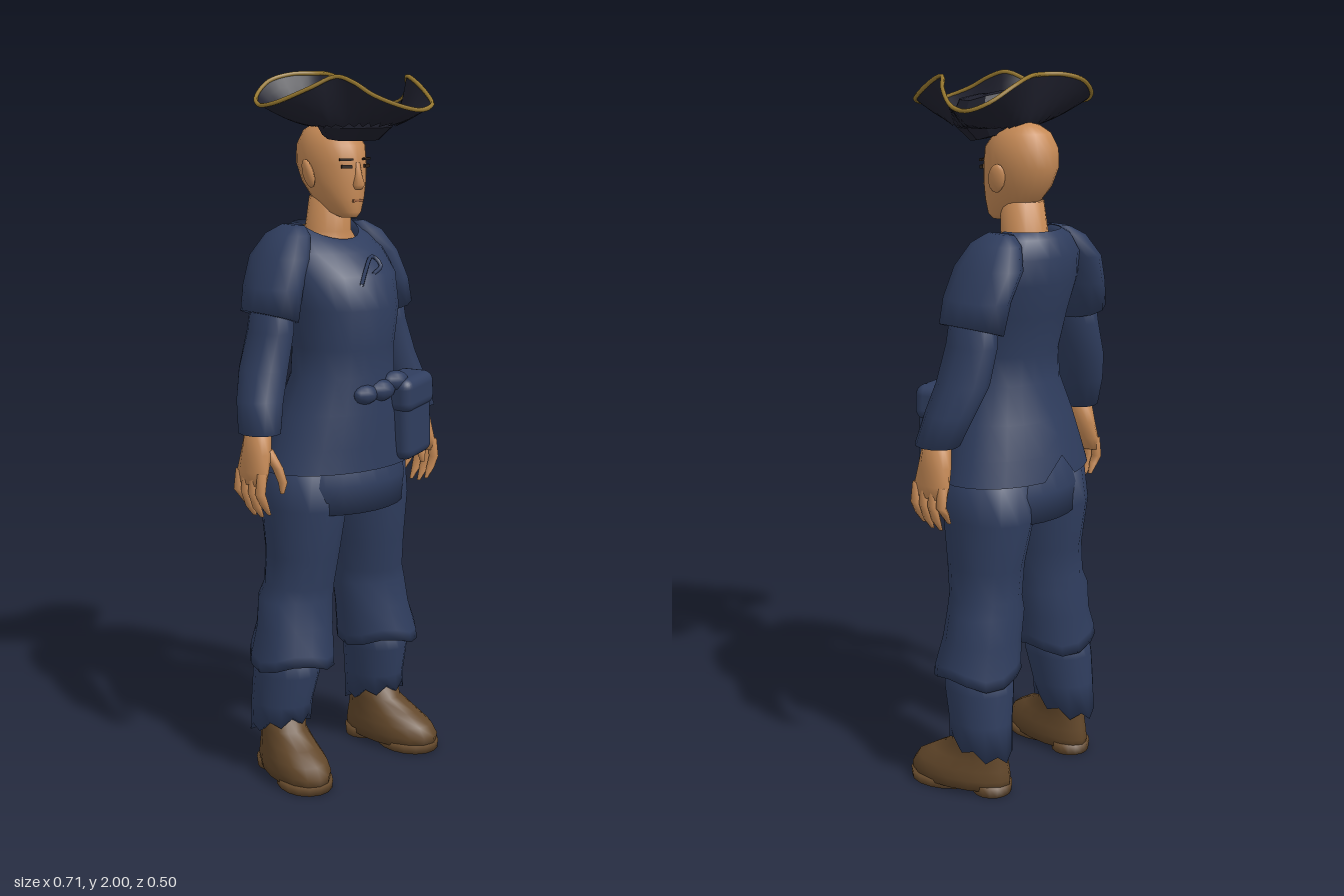
import * as THREE from 'three';
import { RoundedBoxGeometry } from 'three/addons/geometries/RoundedBoxGeometry.js';

const mat = (name, color, side = THREE.FrontSide) =>
  Object.assign(new THREE.MeshStandardMaterial({ color, side }), { name });

// Skin over stacked rings [cx, y, cz, rx, rz], listed from bottom to top.
function loft(rings, { n = 16, bottom = true, top = true, tweak } = {}) {
  const pos = [], idx = [], v = new THREE.Vector3();
  rings.forEach(([cx, y, cz, rx, rz], i) => {
    for (let j = 0; j < n; j++) {
      const a = (j / n) * Math.PI * 2;
      v.set(cx + rx * Math.cos(a), y, cz + rz * Math.sin(a));
      if (tweak) tweak(v, a, i, j);
      pos.push(v.x, v.y, v.z);
    }
  });
  for (let i = 0; i < rings.length - 1; i++) {
    for (let j = 0; j < n; j++) {
      const a = i * n + j, b = i * n + (j + 1) % n;
      idx.push(a, a + n, b + n, a, b + n, b);
    }
  }
  const cap = (i, flip) => {
    const c = pos.length / 3;
    let h = 0;
    for (let j = 0; j < n; j++) h += pos[(i * n + j) * 3 + 1] / n;
    pos.push(rings[i][0], h, rings[i][2]);
    for (let j = 0; j < n; j++) {
      const a = i * n + j, b = i * n + (j + 1) % n;
      idx.push(c, flip ? b : a, flip ? a : b);
    }
  };
  if (bottom) cap(0, false);
  if (top) cap(rings.length - 1, true);
  const g = new THREE.BufferGeometry();
  g.setAttribute('position', new THREE.Float32BufferAttribute(pos, 3));
  g.setIndex(idx);
  g.computeVertexNormals();
  return g;
}

export function createModel() {
  const cloth = mat('navy cloth', 0x2f3d5e, THREE.DoubleSide);
  const skin = mat('skin', 0xc68a56);
  const leather = mat('brown leather', 0x62472a);
  const felt = mat('dark felt', 0x1f202d, THREE.DoubleSide);
  const gold = mat('gold trim', 0x97782f);
  const dark = mat('eye dark', 0x2b2019);
  const lip = mat('lip', 0x9c6340);

  const model = new THREE.Group();
  model.name = 'sailor';
  const add = (name, geo, material, parent = model) => {
    const m = new THREE.Mesh(geo, material);
    m.name = name;
    parent.add(m);
    return m;
  };

  // Tunic with dipped neckline, wavy skirt and a slit at the back hem
  add('tunic', loft([
    [0, 0.91, -0.075, 0.25, 0.172], [0, 0.98, -0.07, 0.225, 0.165],
    [0, 1.07, -0.06, 0.195, 0.155], [0, 1.17, -0.05, 0.155, 0.137],
    [0, 1.25, -0.048, 0.15, 0.137], [0, 1.36, -0.055, 0.165, 0.158],
    [0, 1.45, -0.08, 0.18, 0.157], [0, 1.52, -0.11, 0.172, 0.13],
    [0, 1.57, -0.118, 0.13, 0.107], [0, 1.588, -0.118, 0.095, 0.088],
  ], { n: 24, bottom: false, top: false, tweak: (v, a, i, j) => {
    if (v.y > 1.5) v.y -= 0.5 * (v.y - 1.5) * Math.max(0, Math.sin(a));
    if (i === 0 && j === 18) v.y = 0.975;
    if (i === 1 && j === 18) v.y = 1.03;
  } }), cloth);
  add('undershirtTail', loft([
    [0, 0.79, -0.07, 0.205, 0.162], [0, 0.87, -0.07, 0.215, 0.163], [0, 1.0, -0.065, 0.2, 0.145],
  ], { n: 24 }), cloth);
  add('collarLining', loft([
    [0, 1.52, -0.118, 0.09, 0.083], [0, 1.545, -0.118, 0.093, 0.084],
  ], { tweak: (v, a) => { v.y -= 0.03 * Math.sin(a); } }), leather);

  // Chest lacing
  const lace = new THREE.CatmullRomCurve3([[-0.05, 1.43, 0.083], [-0.02, 1.47, 0.068], [0.03, 1.5, 0.04],
    [0.045, 1.475, 0.058], [0, 1.455, 0.076]].map(p => new THREE.Vector3(...p)));
  add('chestLace', new THREE.TubeGeometry(lace, 16, 0.006, 5), cloth);

  // Sash knot and belt pouch
  for (const [x, y, r] of [[-0.035, 1.125, 0.034], [0.025, 1.13, 0.038], [0.08, 1.15, 0.036]]) {
    const k = add('sashKnot', new THREE.SphereGeometry(r, 10, 8), cloth);
    k.position.set(x, y, 0.082);
    k.scale.set(1.2, 0.8, 0.8);
  }
  const pouch = new THREE.Group();
  pouch.name = 'beltPouch';
  pouch.position.set(0.15, 1.02, 0.055);
  pouch.rotation.set(0, 0.3, 0.06);
  model.add(pouch);
  add('pouchBody', new RoundedBoxGeometry(0.15, 0.19, 0.1, 3, 0.03), cloth, pouch).position.y = -0.005;
  add('pouchFlap', new RoundedBoxGeometry(0.165, 0.1, 0.115, 3, 0.03), cloth, pouch).position.y = 0.09;

  for (const s of [1, -1]) {
    const side = s > 0 ? 'left' : 'right';
    const part = (name, rings, material, opt) =>
      add(side + name, loft(rings.map(([x, ...r]) => [x * s, ...r]), opt), material);

    // Short oversleeve, long sleeve
    part('Oversleeve', [
      [0.217, 1.34, -0.11, 0.063, 0.1], [0.2, 1.42, -0.115, 0.06, 0.108], [0.165, 1.5, -0.125, 0.06, 0.11],
      [0.135, 1.56, -0.125, 0.045, 0.08], [0.115, 1.585, -0.125, 0.015, 0.045],
    ], cloth, { n: 12, tweak: (v, a, i) => { if (i === 0) v.y += 0.02 * s * Math.cos(a); } });
    part('Sleeve', [
      [0.298, 1.035, -0.06, 0.057, 0.064], [0.275, 1.12, -0.085, 0.062, 0.072], [0.245, 1.2, -0.105, 0.063, 0.078],
      [0.215, 1.3, -0.11, 0.055, 0.078], [0.2, 1.42, -0.11, 0.05, 0.07],
    ], cloth, { n: 12 });

    // Hand, four fingers and thumb
    part('Palm', [
      [0.325, 0.895, -0.062, 0.018, 0.056], [0.322, 0.93, -0.062, 0.026, 0.06],
      [0.31, 0.98, -0.062, 0.033, 0.052], [0.3, 1.05, -0.062, 0.036, 0.04],
    ], skin, { n: 12 });
    for (let f = 0; f < 4; f++) {
      const z = -0.108 + f * 0.031, d = f === 0 ? 0.025 : f === 3 ? 0.012 : 0;
      part('Finger', [
        [0.305, 0.8 + d, z, 0.005, 0.006], [0.322, 0.83 + d, z, 0.012, 0.013],
        [0.336, 0.875, z, 0.014, 0.015], [0.328, 0.93, z, 0.014, 0.015],
      ], skin, { n: 7 });
    }
    part('Thumb', [
      [0.272, 0.87, 0.002, 0.006, 0.006], [0.268, 0.9, 0, 0.013, 0.013],
      [0.276, 0.94, -0.012, 0.015, 0.016], [0.295, 0.99, -0.035, 0.018, 0.02],
    ], skin, { n: 7 });

    // Baggy breeches over narrower trouser legs
    part('Breeches', [
      [0.168, 0.345, -0.085, 0.12, 0.127], [0.166, 0.375, -0.085, 0.12, 0.123], [0.152, 0.45, -0.09, 0.112, 0.11],
      [0.143, 0.53, -0.095, 0.113, 0.105], [0.136, 0.57, -0.088, 0.1, 0.104], [0.128, 0.66, -0.082, 0.102, 0.112],
      [0.12, 0.8, -0.085, 0.112, 0.137], [0.11, 0.92, -0.08, 0.11, 0.13],
    ], cloth, { n: 14, tweak: (v, a, i) => { if (i < 2) v.y += 0.015 * Math.cos(a * 3); } });
    part('TrouserLeg', [
      [0.188, 0.15, -0.115, 0.08, 0.098], [0.184, 0.22, -0.112, 0.084, 0.095],
      [0.176, 0.31, -0.1, 0.09, 0.105], [0.168, 0.4, -0.095, 0.09, 0.1],
    ], cloth, { n: 16, tweak: (v, a, i, j) => {
      if (i === 0) v.y += 0.03 * Math.sin(a) + (j % 2 ? 0.012 : -0.012);
    } });

    // Boot, turned outwards
    const boot = new THREE.Group();
    boot.name = side + 'Boot';
    boot.position.set(0.197 * s, 0, -0.05);
    boot.rotation.y = 0.2 * s;
    model.add(boot);
    const widenToe = v => { v.x *= 1 + 0.9 * v.z; };
    add('bootUpper', loft([
      [0, 0.015, 0, 0.074, 0.155], [0, 0.045, 0, 0.08, 0.158], [0, 0.075, -0.008, 0.076, 0.146],
      [0, 0.105, -0.03, 0.068, 0.118], [0, 0.14, -0.06, 0.064, 0.083], [0, 0.2, -0.065, 0.068, 0.075],
    ], { tweak: widenToe }), leather, boot);
    add('bootSole', loft([[0, 0, 0.06, 0.07, 0.098], [0, 0.025, 0.06, 0.072, 0.1]], { tweak: widenToe }), leather, boot);
    add('bootHeel', loft([[0, 0, -0.1, 0.055, 0.055], [0, 0.03, -0.1, 0.058, 0.058]]), leather, boot);

    // Ear, eye and brow
    const ear = add(side + 'Ear', new THREE.SphereGeometry(1, 10, 8), skin);
    ear.scale.set(0.013, 0.04, 0.024);
    ear.position.set(0.091 * s, 1.725, -0.088);
    ear.rotation.set(-0.2, 0.3 * s, -0.15 * s);
    for (const [name, y, w, h, z] of [['Eye', 1.745, 0.03, 0.009, 0.008], ['Brow', 1.764, 0.04, 0.006, 0.007]]) {
      const m = add(side + name, new THREE.BoxGeometry(w, h, 0.008), dark);
      m.position.set(0.037 * s, y, z);
      m.rotation.y = 0.38 * s;
    }
  }

  // Neck, bald head, nose and mouth
  add('neck', loft([
    [0, 1.5, -0.11, 0.095, 0.08], [0, 1.535, -0.11, 0.088, 0.076], [0, 1.565, -0.11, 0.066, 0.064],
    [0, 1.66, -0.1, 0.056, 0.062],
  ]), skin);
  add('head', loft([
    [0, 1.605, -0.025, 0.022, 0.026], [0, 1.62, -0.043, 0.042, 0.054], [0, 1.66, -0.068, 0.065, 0.083],
    [0, 1.7, -0.084, 0.079, 0.1], [0, 1.75, -0.095, 0.087, 0.11], [0, 1.8, -0.097, 0.086, 0.106],
    [0, 1.84, -0.102, 0.066, 0.08], [0, 1.86, -0.106, 0.036, 0.044], [0, 1.866, -0.107, 0.012, 0.014],
  ], { n: 24 }), skin);
  add('nose', loft([
    [0, 1.683, 0.012, 0.012, 0.012], [0, 1.695, 0.014, 0.018, 0.021], [0, 1.72, 0.012, 0.011, 0.015],
    [0, 1.755, 0.01, 0.008, 0.008],
  ], { n: 8 }), skin);
  add('mouth', new THREE.BoxGeometry(0.036, 0.007, 0.008), lip).position.set(0, 1.652, 0.012);

  // Hat crown
  const crown = loft([
    [0, 1.815, -0.015, 0.085, 0.07], [0, 1.85, -0.002, 0.112, 0.1], [0, 1.89, 0, 0.116, 0.106],
    [0, 1.922, 0, 0.1, 0.092], [0, 1.934, 0, 0.05, 0.045],
  ], { n: 12, tweak: v => { v.y += Math.max(0, -v.z) * 0.3; } }).toNonIndexed();
  crown.computeVertexNormals();
  add('hatCrown', crown, felt);

  // Three-cornered brim: low points at front and back corners, folded up between
  const half = [[0.07, 1.99, -0.182], [0.14, 1.972, -0.193], [0.21, 1.93, -0.165], [0.238, 1.91, -0.115],
    [0.232, 1.917, -0.06], [0.18, 1.955, 0.02], [0.13, 1.985, 0.07], [0.114, 1.97, 0.12],
    [0.1, 1.94, 0.175], [0.06, 1.912, 0.235]];
  const rimPoints = [[0, 1.992, -0.163], ...half, [0, 1.9, 0.252],
    ...half.slice().reverse().map(([x, y, z]) => [-x, y, z])].map(p => new THREE.Vector3(...p));
  const rim = new THREE.CatmullRomCurve3(rimPoints, true);
  const N = 64, rows = 6, pos = [], idx = [];
  for (let j = 0; j < N; j++) {
    const p = rim.getPointAt(j / N), a = Math.atan2(p.z, p.x);
    const ix = 0.118 * Math.cos(a), iz = 0.11 * Math.sin(a);
    // Torn, toothed inner edge, gaping widest at the front
    const gap = Math.max(0, Math.sin(a)) ** 4;
    const t0 = (j % 2 ? 0.14 : 0) + gap * (j % 2 ? 0.25 : 0.1);
    for (let i = 0; i <= rows; i++) {
      const t = t0 + (1 - t0) * (i / rows);
      pos.push(ix + (p.x - ix) * t, 1.852 + (p.y - 1.852) * t ** 1.5, iz + (p.z - iz) * t);
    }
  }
  for (let j = 0; j < N; j++) {
    for (let i = 0; i < rows; i++) {
      const a = j * (rows + 1) + i, b = ((j + 1) % N) * (rows + 1) + i;
      idx.push(a, b, b + 1, a, b + 1, a + 1);
    }
  }
  const brim = new THREE.BufferGeometry();
  brim.setAttribute('position', new THREE.Float32BufferAttribute(pos, 3));
  brim.setIndex(idx);
  brim.computeVertexNormals();
  add('hatBrim', brim, felt);
  add('hatTrim', new THREE.TubeGeometry(rim, 96, 0.006, 6, true), gold);

  return model;
}
